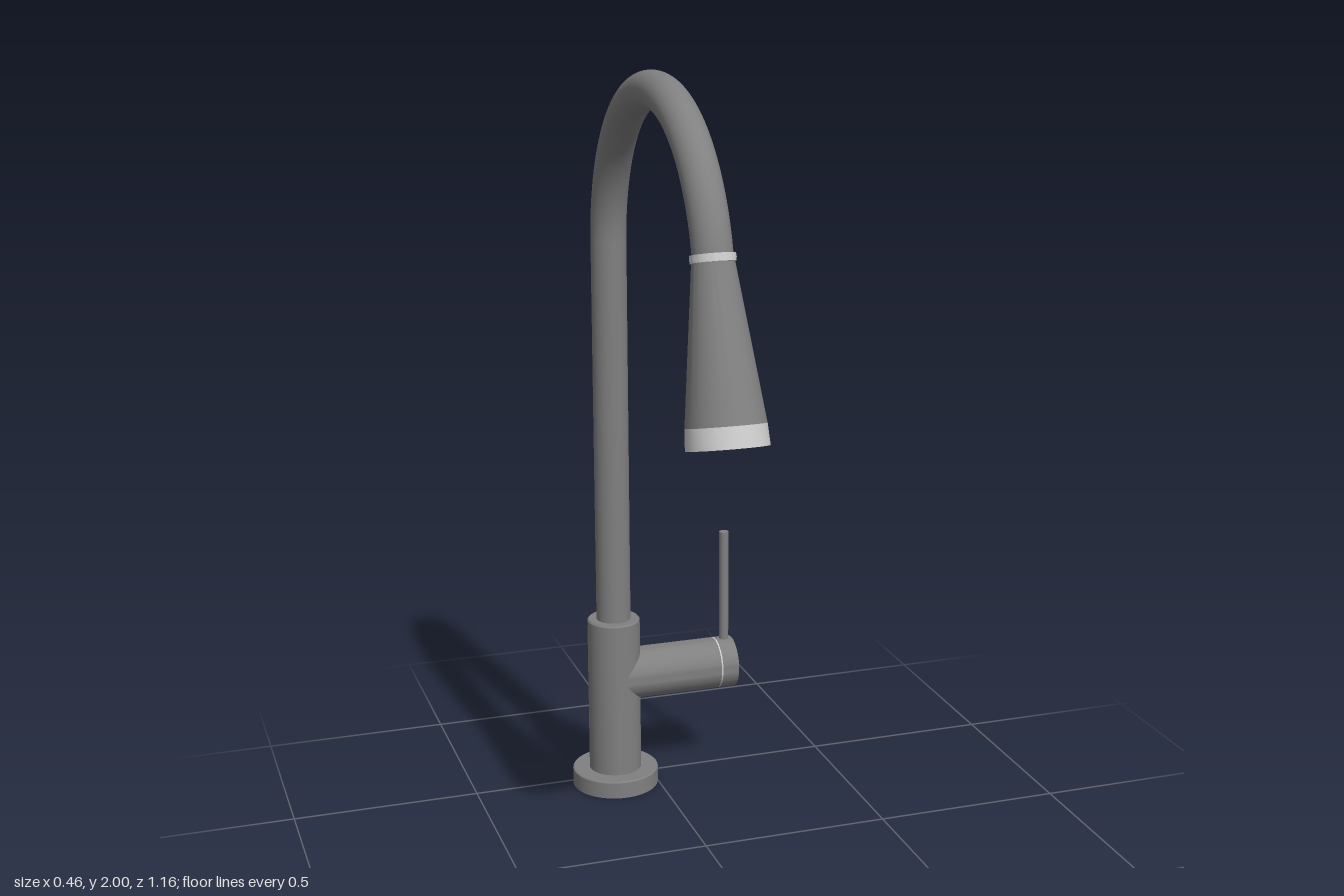
import * as THREE from 'three';
import { toCreasedNormals } from 'three/addons/utils/BufferGeometryUtils.js';

const X = -0.113, Z = -0.461;                 // column axis
const PIPE = 0.0465, R = 0.43;                // pipe radius, bend radius
const BEND_Y = 1.5235, BEND_Z = Z + R;        // bend centre
const TILT = THREE.MathUtils.degToRad(14.5);  // lean of the spray head

const metal = new THREE.MeshStandardMaterial({ color: 0x808080 });
metal.name = 'grey metal';
const trim = new THREE.MeshStandardMaterial({ color: 0xcccccc });
trim.name = 'light trim';

// Planar arc from the top of the riser to the spray head
class BendCurve extends THREE.Curve {
  getPoint(t, target = new THREE.Vector3()) {
    const a = Math.PI + (TILT - Math.PI) * t;
    return target.set(X, BEND_Y + R * Math.sin(a), BEND_Z + R * Math.cos(a));
  }
}

function add(parent, name, geometry, material, x = 0, y = 0, z = 0) {
  const mesh = new THREE.Mesh(geometry, material);
  mesh.name = name;
  mesh.position.set(x, y, z);
  parent.add(mesh);
  return mesh;
}

// Turned part; the profile lists [radius, height] from the underside outwards and up
function turned(profile) {
  const points = profile.map(([r, y]) => new THREE.Vector2(r, y));
  return toCreasedNormals(new THREE.LatheGeometry(points, 48), 0.6);
}

export function createModel() {
  const model = new THREE.Group();
  model.name = 'faucet';

  // Base flange with a hollow underside, and the column body
  add(model, 'baseFlange', turned([
    [0, 0.1], [0.062, 0.1], [0.062, 0.012], [0.072, 0.012], [0.072, 0.032], [0.098, 0.032],
    [0.098, 0], [0.118, 0], [0.118, 0.045], [0.115, 0.048], [0.07, 0.048],
  ]), metal, X, 0, Z);
  add(model, 'columnBody', turned([
    [0.0715, 0.04], [0.0715, 0.481], [0.068, 0.485], [0.04, 0.485],
  ]), metal, X, 0, Z);

  // Riser and gooseneck
  const riserHeight = BEND_Y - 0.47;
  add(model, 'riserPipe', new THREE.CylinderGeometry(PIPE, PIPE, riserHeight, 40, 1, true),
    metal, X, 0.47 + riserHeight / 2, Z);
  add(model, 'gooseneck', new THREE.TubeGeometry(new BendCurve(), 72, PIPE, 40), metal);

  // Pull-down spray head, hanging along its own -y
  const head = new THREE.Group();
  head.name = 'sprayHead';
  head.position.set(X, BEND_Y + R * Math.sin(TILT), BEND_Z + R * Math.cos(TILT));
  head.rotation.x = -TILT;
  model.add(head);
  add(head, 'collarRing', turned([
    [0.04, -0.009], [0.052, -0.009], [0.053, 0], [0.052, 0.009], [0.04, 0.009],
  ]), trim);
  add(head, 'headCone', turned([[0.0925, -0.37], [0.049, -0.009], [0, -0.009]]), metal);
  add(head, 'headRim', turned([
    [0.084, -0.42], [0.0955, -0.42], [0.0925, -0.37],
  ]), trim);
  add(head, 'nozzleFace', turned([[0, -0.4], [0.084, -0.4], [0.084, -0.42]]), metal);

  // Side valve: barrel, seam and end cap along x
  const valve = new THREE.Group();
  valve.name = 'valve';
  valve.position.set(X, 0.318, Z);
  valve.rotation.z = -Math.PI / 2;
  model.add(valve);
  add(valve, 'valveBarrel', turned([[0, 0], [0.0705, 0], [0.0705, 0.29], [0, 0.29]]), metal);
  add(valve, 'valveSeam', turned([[0.0703, 0.29], [0.0703, 0.294]]), trim);
  add(valve, 'valveCap', turned([[0, 0.294], [0.0705, 0.294], [0.0705, 0.34], [0, 0.34]]), metal);

  // Upright lever
  add(model, 'lever', new THREE.CylinderGeometry(0.013, 0.013, 0.34, 24), metal, 0.205, 0.53, Z);

  return model;
}
